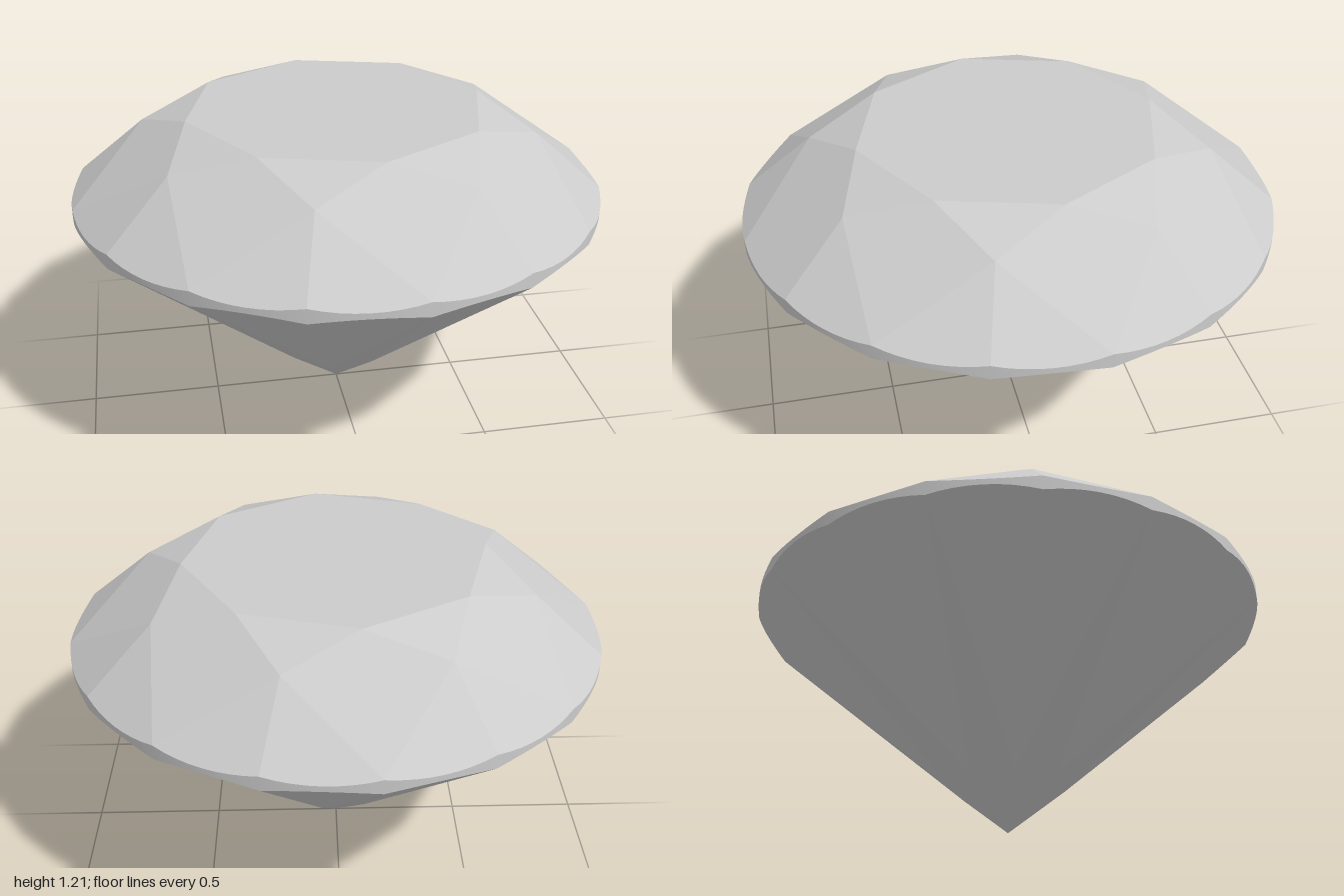
import * as THREE from 'three';

const STEP = Math.PI / 8;          // angle between neighbouring girdle corners
const TURN = THREE.MathUtils.degToRad(38); // rotation of the whole cut
const ARC = 8;                     // samples along each girdle scallop

const TABLE_R = 0.57, TABLE_Y = 1.205;
const TOP_Y = 0.911, LOW_Y = 0.856; // girdle corner heights
const STAR_R = 0.745, JOINT_R = 0.22;

// Heights that keep the kite-shaped main facets flat
const STAR_Y = TABLE_Y - (STAR_R * Math.cos(STEP) - TABLE_R) * (TABLE_Y - TOP_Y) / (1 - TABLE_R);
const JOINT_Y = LOW_Y * JOINT_R * Math.cos(STEP);

// Point at radius r and height y, k girdle steps round
const at = (r, k, y) =>
  new THREE.Vector3(r * Math.cos(TURN + k * STEP), y, r * Math.sin(TURN + k * STEP));

// Where the plane of a half facet cuts the unit cylinder between corners k and k + 1
function scallop(k, cornerY, apexR, apexY) {
  const c = Math.cos(STEP / 2);
  const slope = (cornerY - apexY) / (c * (1 - apexR));
  return Array.from({ length: ARC + 1 }, (_, i) => {
    const t = i / ARC;
    return at(1, k + t, cornerY + slope * (Math.cos((t - 0.5) * STEP) - c));
  });
}
const upperArc = k => scallop(k, TOP_Y, STAR_R, STAR_Y);
const lowerArc = k => scallop(k, LOW_Y, JOINT_R, JOINT_Y);

// Flat-shaded mesh from polygons, each fanned and turned to face outward
function facetMesh(name, polygons) {
  const inside = new THREE.Vector3(0, 0.8, 0);
  const pts = [];
  for (const poly of polygons) {
    for (let i = 1; i < poly.length - 1; i++) {
      const [a, b, c] = [poly[0], poly[i], poly[i + 1]];
      const n = b.clone().sub(a).cross(c.clone().sub(a));
      const outward = n.dot(a.clone().sub(inside)) > 0;
      pts.push(...(outward ? [a, b, c] : [a, c, b]));
    }
  }
  const geo = new THREE.BufferGeometry().setFromPoints(pts);
  geo.computeVertexNormals();
  const mesh = new THREE.Mesh(geo,
    new THREE.MeshStandardMaterial({ color: 0xcccccc, flatShading: true }));
  mesh.name = name;
  return mesh;
}

// Thin round band with scalloped upper and lower edges
function girdleMesh() {
  const pts = [], index = [], count = 16 * ARC;
  for (let k = 0; k < 16; k++) {
    const up = upperArc(k), low = lowerArc(k);
    for (let i = 0; i < ARC; i++) pts.push(up[i], low[i]);
  }
  for (let i = 0; i < count; i++) {
    const a = 2 * i, b = 2 * ((i + 1) % count);
    index.push(a, b, a + 1, b, b + 1, a + 1);
  }
  const geo = new THREE.BufferGeometry().setFromPoints(pts);
  geo.setIndex(index);
  geo.computeVertexNormals();
  const mesh = new THREE.Mesh(geo, new THREE.MeshStandardMaterial({ color: 0xcccccc }));
  mesh.name = 'girdle';
  return mesh;
}

export function createModel() {
  const table = [], stars = [], kites = [], upperHalves = [], mains = [], lowerHalves = [];
  const culet = new THREE.Vector3(0, 0, 0);

  for (let k = 0; k < 16; k += 2) {
    const corner = at(TABLE_R, k, TABLE_Y);
    const star = at(STAR_R, k + 1, STAR_Y), prevStar = at(STAR_R, k - 1, STAR_Y);
    const joint = at(JOINT_R, k + 1, JOINT_Y), prevJoint = at(JOINT_R, k - 1, JOINT_Y);

    // Crown
    table.push(corner);
    stars.push([corner, star, at(TABLE_R, k + 2, TABLE_Y)]);
    kites.push([corner, prevStar, at(1, k, TOP_Y), star]);
    upperHalves.push([star, ...upperArc(k)], [star, ...upperArc(k + 1)]);

    // Pavilion
    mains.push([culet, prevJoint, at(1, k, LOW_Y), joint]);
    lowerHalves.push([joint, ...lowerArc(k)], [joint, ...lowerArc(k + 1)]);
  }

  const crown = new THREE.Group();
  crown.name = 'crown';
  crown.add(
    facetMesh('table', [table]),
    facetMesh('starFacets', stars),
    facetMesh('kiteFacets', kites),
    facetMesh('upperHalfFacets', upperHalves));

  const pavilion = new THREE.Group();
  pavilion.name = 'pavilion';
  pavilion.add(
    facetMesh('pavilionMainFacets', mains),
    facetMesh('lowerHalfFacets', lowerHalves));

  const gem = new THREE.Group();
  gem.name = 'brilliantCutGem';
  gem.add(crown, girdleMesh(), pavilion);
  return gem;
}
